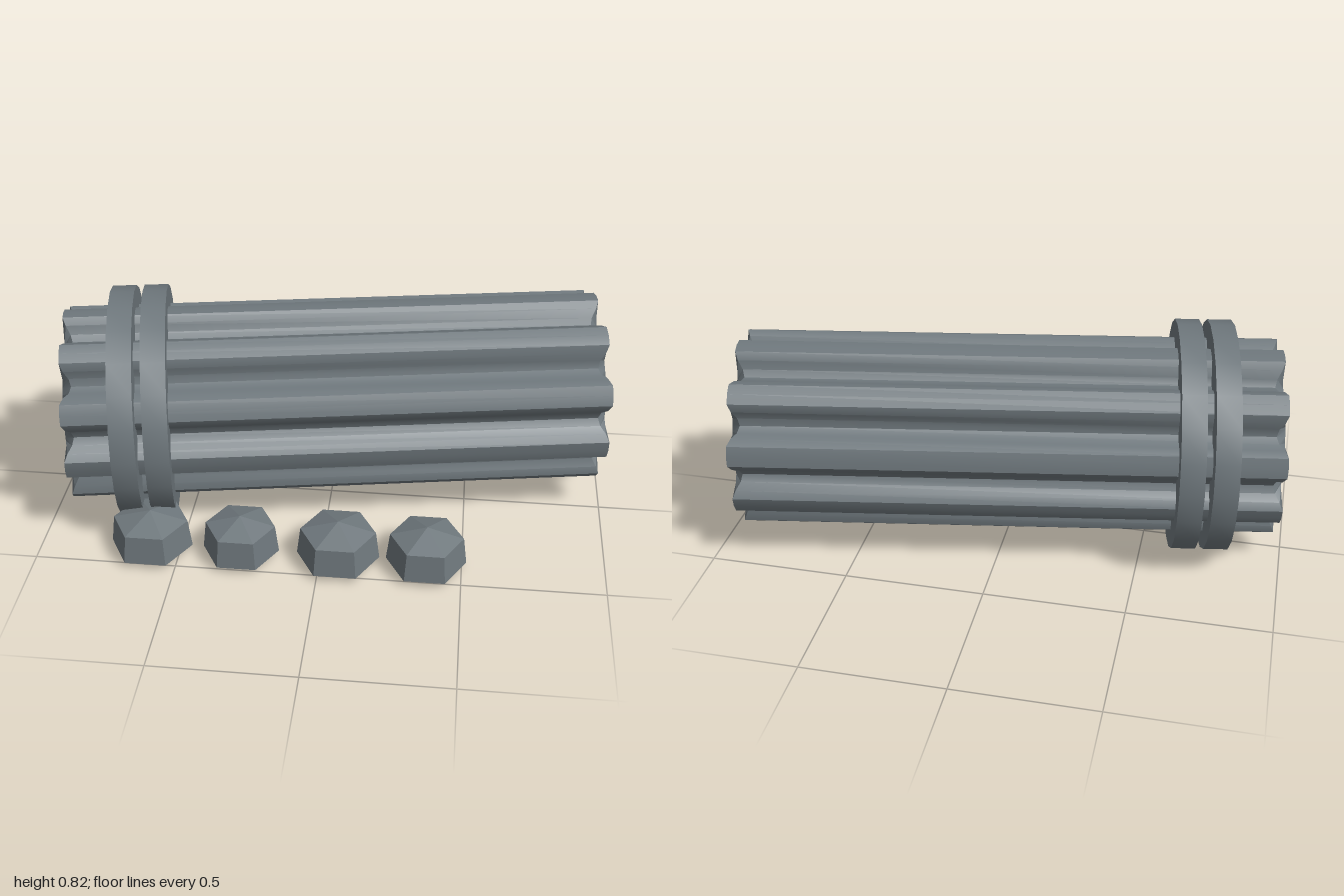
import * as THREE from 'three';
import { toCreasedNormals } from 'three/addons/utils/BufferGeometryUtils.js';

const HALF = 0.949;      // half length of the shaft
const RIDGE = 0.347, GROOVE = 0.284;
const FLUTES = 10;

// one flute: [angle in degrees from the ridge centre, radius]
const FLUTE = [[-6, 0.345], [0, RIDGE], [6, 0.345], [10, 0.325], [13, 0.297], [18, GROOVE], [23, 0.297], [26, 0.325]];

// fluted shaft along x, with the grooves chipped back at both broken ends
function shaftGeometry() {
  const section = [];
  for (let f = 0; f < FLUTES; f++) {
    for (const [deg, r] of FLUTE) section.push([THREE.MathUtils.degToRad(12 + f * 36 + deg), r]);
  }
  const at = (x, a, r) => [x, r * Math.sin(a), -r * Math.cos(a)];
  const positions = [];
  const tri = (...p) => p.forEach((v) => positions.push(...v));
  const quad = (a, b, c, d) => { tri(a, b, c); tri(a, c, d); };
  const endX = (r) => HALF - 0.035 * (RIDGE - r) / (RIDGE - GROOVE);

  section.forEach(([a0, r0], i) => {
    const [a1, r1] = section[(i + 1) % section.length];
    const x0 = endX(r0), x1 = endX(r1), core = 0.245;
    quad(at(-x0, a0, r0), at(-x1, a1, r1), at(x1, a1, r1), at(x0, a0, r0));
    // right end
    quad(at(HALF, a0, core), at(x0, a0, r0), at(x1, a1, r1), at(HALF, a1, core));
    tri([HALF, 0, 0], at(HALF, a0, core), at(HALF, a1, core));
    // left end
    quad(at(-HALF, a1, core), at(-x1, a1, r1), at(-x0, a0, r0), at(-HALF, a0, core));
    tri([-HALF, 0, 0], at(-HALF, a1, core), at(-HALF, a0, core));
  });
  const g = new THREE.BufferGeometry();
  g.setAttribute('position', new THREE.Float32BufferAttribute(positions, 3));
  return toCreasedNormals(g, 0.65);
}

// six-sided rubble block with a low pointed top
function stoneGeometry(radius, shoulder, peak) {
  const profile = [[0, 0], [radius, 0], [radius * 0.91, shoulder], [0, peak]];
  const points = profile.map(([x, y]) => new THREE.Vector2(x, y));
  const g = new THREE.LatheGeometry(points, 6, Math.PI / 6).toNonIndexed();
  g.computeVertexNormals();
  return g;
}

export function createModel() {
  const model = new THREE.Group();
  model.name = 'fallenColumn';
  const stone = new THREE.MeshStandardMaterial({ color: 0x6f787d });
  stone.name = 'greyStone';

  const add = (parent, name, geometry) => {
    const mesh = new THREE.Mesh(geometry, stone);
    mesh.name = name;
    parent.add(mesh);
    return mesh;
  };

  // toppled column, turned slightly away from the x axis
  const column = new THREE.Group();
  column.name = 'column';
  column.position.set(0, 0.414, -0.058);
  column.rotation.y = 0.171;
  model.add(column);
  add(column, 'flutedShaft', shaftGeometry());

  // two collar rings near the left-hand end
  const ring = toCreasedNormals(new THREE.CylinderGeometry(0.412, 0.412, 0.085, 22), 0.6);
  ring.rotateZ(Math.PI / 2);
  [-0.74, -0.626].forEach((x, i) => {
    add(column, `collarRing${i + 1}`, ring).position.x = x;
  });

  // row of rubble in front: x, radius, shoulder height, peak height
  const rubble = [[-0.6, 0.145, 0.105, 0.142], [-0.28, 0.135, 0.105, 0.142],
    [0.065, 0.146, 0.105, 0.145], [0.375, 0.141, 0.105, 0.145]];
  rubble.forEach(([x, radius, shoulder, peak], i) => {
    add(model, `rubble${i + 1}`, stoneGeometry(radius, shoulder, peak)).position.set(x, 0.03, 0.405);
  });

  return model;
}
